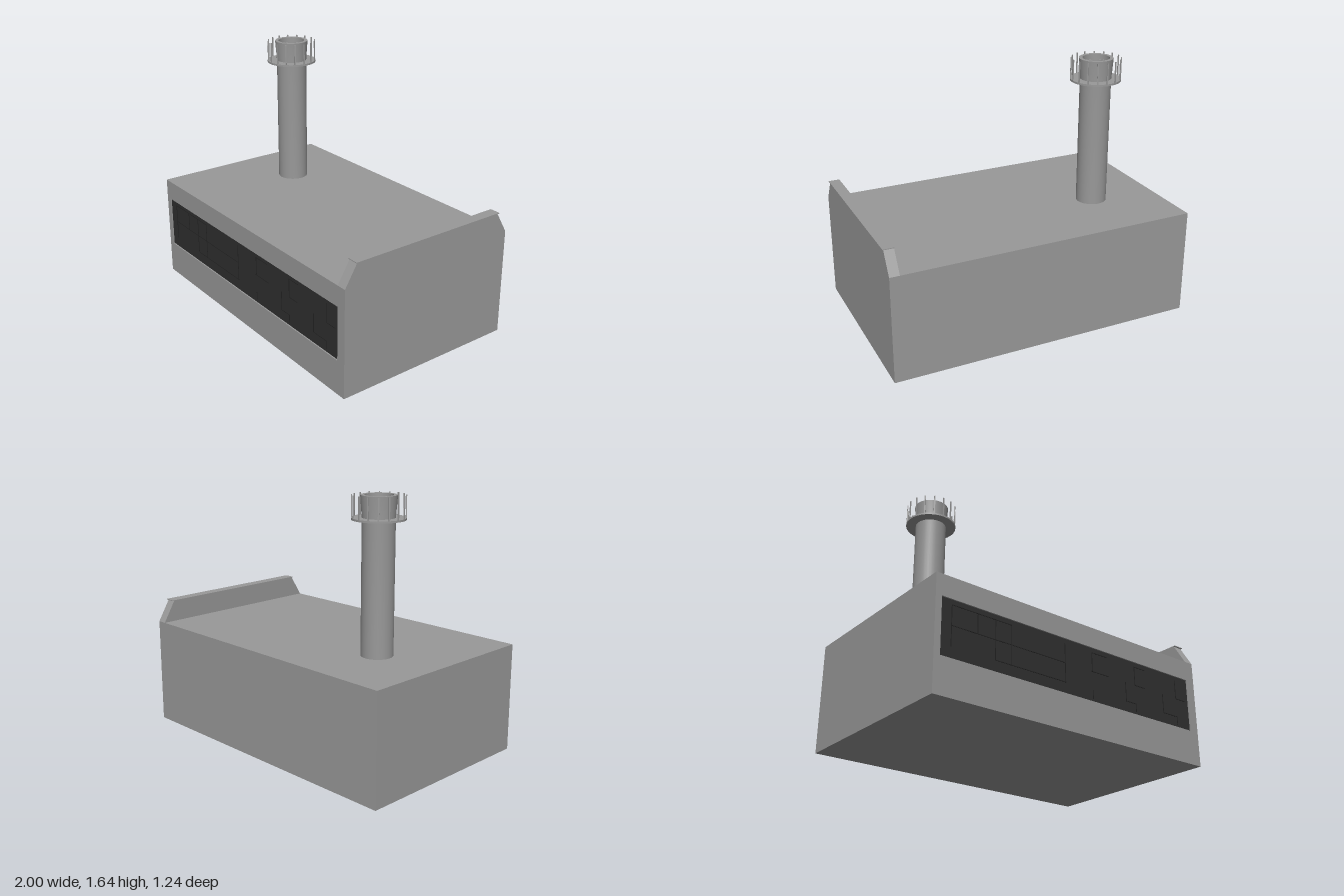
import * as THREE from 'three';
import { toCreasedNormals } from 'three/addons/utils/BufferGeometryUtils.js';

const grey = new THREE.MeshStandardMaterial({ color: 0x999999 });
const greyDouble = new THREE.MeshStandardMaterial({ color: 0x999999, side: THREE.DoubleSide });
const dark = new THREE.MeshStandardMaterial({ color: 0x303030 });
const darker = new THREE.MeshStandardMaterial({ color: 0x222222 });
const black = new THREE.MeshStandardMaterial({ color: 0x0c0c0c });

function add(parent, name, geometry, material, x = 0, y = 0, z = 0) {
  const mesh = new THREE.Mesh(geometry, material);
  mesh.name = name;
  mesh.position.set(x, y, z);
  parent.add(mesh);
  return mesh;
}

// Box given by its minimum and maximum corners
function box(parent, name, [x0, y0, z0], [x1, y1, z1], material = grey) {
  return add(parent, name, new THREE.BoxGeometry(x1 - x0, y1 - y0, z1 - z0), material,
    (x0 + x1) / 2, (y0 + y1) / 2, (z0 + z1) / 2);
}

const vectors = (points) => points.map(([x, y]) => new THREE.Vector2(x, y));

function createBuilding() {
  const building = new THREE.Group();
  building.name = 'building';
  const depth = 0.618, recess = 0.012, inner = depth - recess;

  // Main block, with a thin front skin around the window opening
  box(building, 'mainBlock', [-1, 0, -depth], [0.93, 0.69, inner]);
  const front = new THREE.Shape(vectors([[-1, 0], [0.993, 0], [0.993, 0.69], [-1, 0.69]]));
  front.holes.push(new THREE.Path(vectors([[-0.96, 0.22], [-0.96, 0.56], [0.93, 0.56], [0.93, 0.22]])));
  add(building, 'frontFacade', new THREE.ExtrudeGeometry(front, { depth: recess, bevelEnabled: false }),
    grey, 0, 0, inner);

  // End wall rising above the roof, with chamfered corners
  const wall = new THREE.Shape(vectors([[-inner, 0], [depth, 0], [depth, 0.69], [0.535, 0.828],
    [-0.535, 0.828], [-depth, 0.69], [-inner, 0.69]]));
  const wallGeometry = new THREE.ExtrudeGeometry(wall, { depth: 0.063, bevelEnabled: false });
  wallGeometry.rotateY(Math.PI / 2);
  add(building, 'endWall', wallGeometry, grey, 0.93, 0, 0);
  box(building, 'wallCap', [0.93, 0.827, -0.545], [1, 0.832, 0.545]);
  return building;
}

function createWindow() {
  const group = new THREE.Group();
  group.name = 'windowBand';
  box(group, 'windowPane', [-0.96, 0.22, 0.6], [0.93, 0.56, 0.61], dark);
  // Staggered glazing bars: [x0, y0, x1, y1]
  const bars = [
    [-0.89, 0.53, -0.49, 0.53], [-0.89, 0.41, -0.1, 0.41], [-0.6, 0.29, -0.1, 0.29],
    [-0.89, 0.29, -0.89, 0.53], [-0.72, 0.41, -0.72, 0.53], [-0.6, 0.29, -0.6, 0.53],
    [-0.49, 0.29, -0.49, 0.53], [-0.1, 0.29, -0.1, 0.53],
    [0.11, 0.41, 0.11, 0.53], [0.11, 0.53, 0.23, 0.53], [0.1, 0.41, 0.24, 0.41], [0.11, 0.24, 0.11, 0.29],
    [0.38, 0.29, 0.38, 0.41], [0.38, 0.29, 0.46, 0.29], [0.46, 0.24, 0.46, 0.29],
    [0.46, 0.41, 0.46, 0.53], [0.46, 0.53, 0.55, 0.53], [0.46, 0.41, 0.54, 0.41],
    [0.7, 0.29, 0.7, 0.41], [0.7, 0.29, 0.82, 0.29], [0.82, 0.24, 0.82, 0.29],
    [0.82, 0.41, 0.82, 0.53], [0.82, 0.41, 0.9, 0.41],
  ];
  const w = 0.002;
  for (const [x0, y0, x1, y1] of bars) {
    box(group, 'glazingBar', [x0 - w, y0 - w, 0.608], [x1 + w, y1 + w, 0.612], darker);
  }
  return group;
}

function createChimney() {
  const chimney = new THREE.Group();
  chimney.name = 'chimney';
  chimney.position.set(-0.565, 0, -0.145);

  // Hollow stack with a flared mouth and a small step inside
  const profile = vectors([[0.098, 0.68], [0.098, 1.51], [0.108, 1.642], [0.085, 1.642],
    [0.085, 1.61], [0.08, 1.61], [0.08, 1.4]]);
  add(chimney, 'stack', toCreasedNormals(new THREE.LatheGeometry(profile, 32), 0.6), greyDouble);
  const flue = new THREE.CircleGeometry(0.082, 32);
  flue.rotateX(-Math.PI / 2);
  add(chimney, 'flue', flue, black, 0, 1.405, 0);

  // Gallery ring and its circle of upright posts
  const ring = vectors([[0.09, 1.5], [0.16, 1.5], [0.16, 1.512], [0.09, 1.512]]);
  add(chimney, 'gallery', toCreasedNormals(new THREE.LatheGeometry(ring, 32), 0.6), grey);
  const count = 16;
  for (let i = 0; i < count; i++) {
    const a = (i / count) * Math.PI * 2 - 0.06;
    const post = add(chimney, 'galleryPost', new THREE.BoxGeometry(0.008, 0.135, 0.006), grey,
      Math.sin(a) * 0.156, 1.5755, Math.cos(a) * 0.156);
    post.rotation.y = a;
  }
  return chimney;
}

export function createModel() {
  const model = new THREE.Group();
  model.name = 'factory';
  model.add(createBuilding(), createWindow(), createChimney());
  return model;
}
